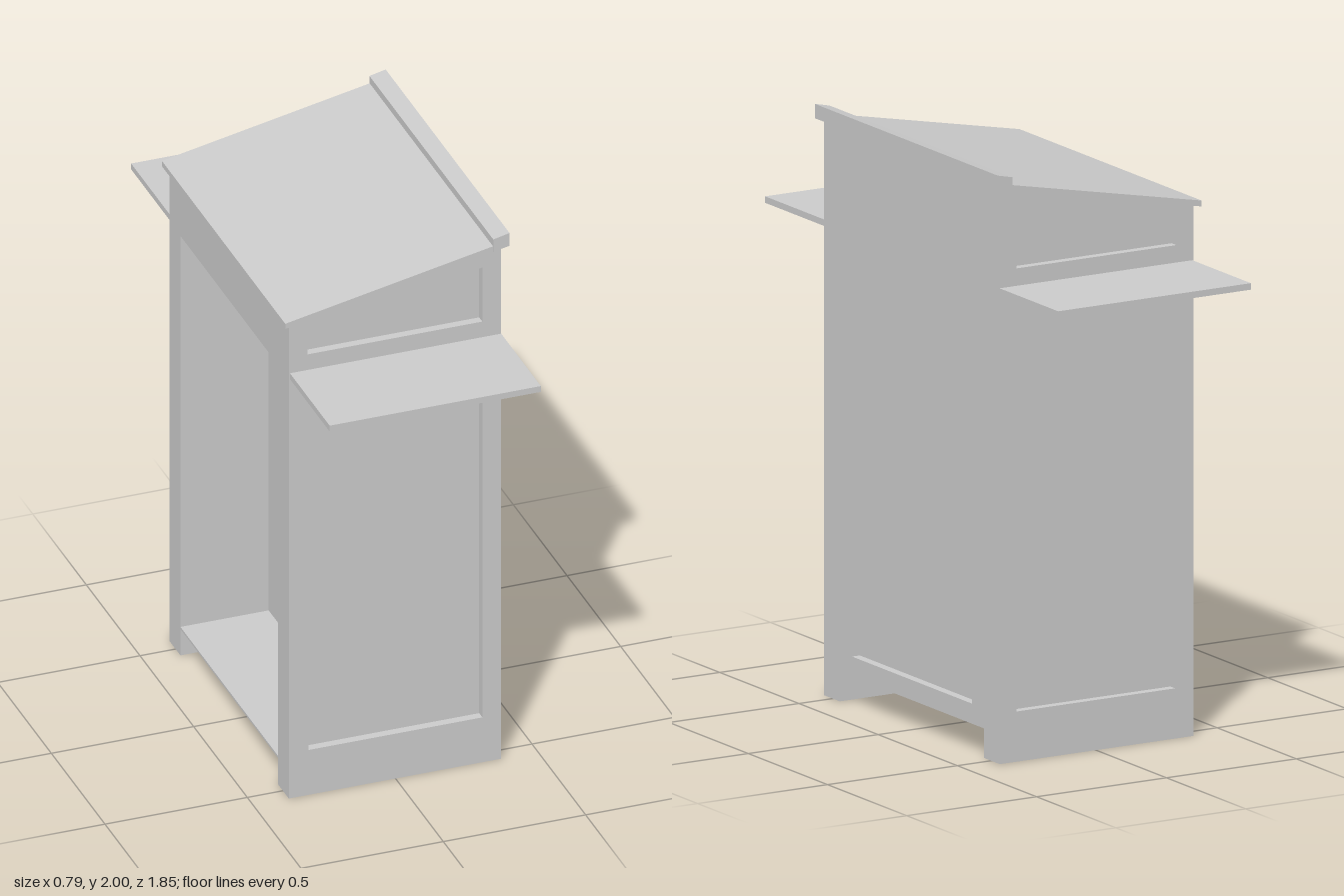
import * as THREE from 'three';

const material = new THREE.MeshStandardMaterial({ color: 0xcccccc, flatShading: true });

// Underside of the sloping top at a given x
const slope = (x) => 1.873 + 0.2 * x;

const outline = (points) => points.map(([x, y]) => new THREE.Vector2(x, y));

// Extrude a profile in the xy plane from z0 to z1, with optional holes
function slab(name, points, z0, z1, holes = []) {
  const shape = new THREE.Shape(outline(points));
  for (const hole of holes) shape.holes.push(new THREE.Path(outline(hole)));
  const geometry = new THREE.ExtrudeGeometry(shape, { depth: z1 - z0, bevelEnabled: false });
  geometry.translate(0, 0, z0);
  const mesh = new THREE.Mesh(geometry, material);
  mesh.name = name;
  return mesh;
}

export function createModel() {
  const model = new THREE.Group();
  model.name = 'lectern';

  const back = -0.375, core = 0.34, front = 0.37;
  const halfWidth = 0.555, inner = 0.455, recess = 0.03;

  // Cabinet: solid core, floor and top rail around an open compartment
  model.add(slab('cabinetCore', [
    [back, 0.1], [core, 0.1], [core, slope(core)], [back, slope(back)],
    [back, 1.59], [-0.065, 1.59], [-0.065, 0.108], [back, 0.108],
  ], -inner, inner));

  // Side walls with a tall and a trapezoid recessed panel, and a fold-out shelf
  const wall = [[back, 0], [core, 0], [core, slope(core)], [back, slope(back)]];
  const panels = [
    [[-0.305, 0.17], [0.305, 0.17], [0.305, 1.515], [-0.305, 1.515]],
    [[-0.31, 1.67], [0.305, 1.67], [0.305, 1.875], [-0.31, 1.75]],
  ];
  for (const side of [1, -1]) {
    const group = new THREE.Group();
    group.name = side > 0 ? 'leftSide' : 'rightSide';
    const span = (a, b) => (side > 0 ? [a, b] : [-b, -a]);
    group.add(slab('sideWall', wall, ...span(inner, halfWidth - recess)));
    group.add(slab('sideFrame', wall, ...span(halfWidth - recess, halfWidth), panels));
    const shelf = new THREE.Mesh(new THREE.BoxGeometry(0.742, 0.022, 0.37), material);
    shelf.name = 'sideShelf';
    shelf.position.set(0, 1.6, side * (halfWidth + 0.185));
    group.add(shelf);
    model.add(group);
  }

  // Frame around the large recessed panel, notched below to leave two feet
  const panelFrame = slab('panelFrame', [
    [-halfWidth, 0], [-inner, 0], [-inner, 0.1], [inner, 0.1],
    [inner, 0], [halfWidth, 0], [halfWidth, 1.945], [-halfWidth, 1.945],
  ], 0, front - core, [[[-0.378, 0.168], [0.378, 0.168], [0.378, 1.89], [-0.378, 1.89]]]);
  panelFrame.rotation.y = Math.PI / 2;
  panelFrame.position.x = core;
  model.add(panelFrame);

  // Sloping top with a raised lip along its high edge
  const low = -0.395, lip = 0.335, high = 0.392;
  model.add(slab('slopingTop', [
    [low, slope(low)], [lip, slope(lip)], [lip, slope(lip) + 0.02], [low, slope(low) + 0.02],
  ], -0.575, 0.575));
  model.add(slab('topLip', [
    [lip, slope(lip)], [high, slope(high)], [high, 2], [lip, 1.987],
  ], -0.577, 0.577));

  return model;
}
